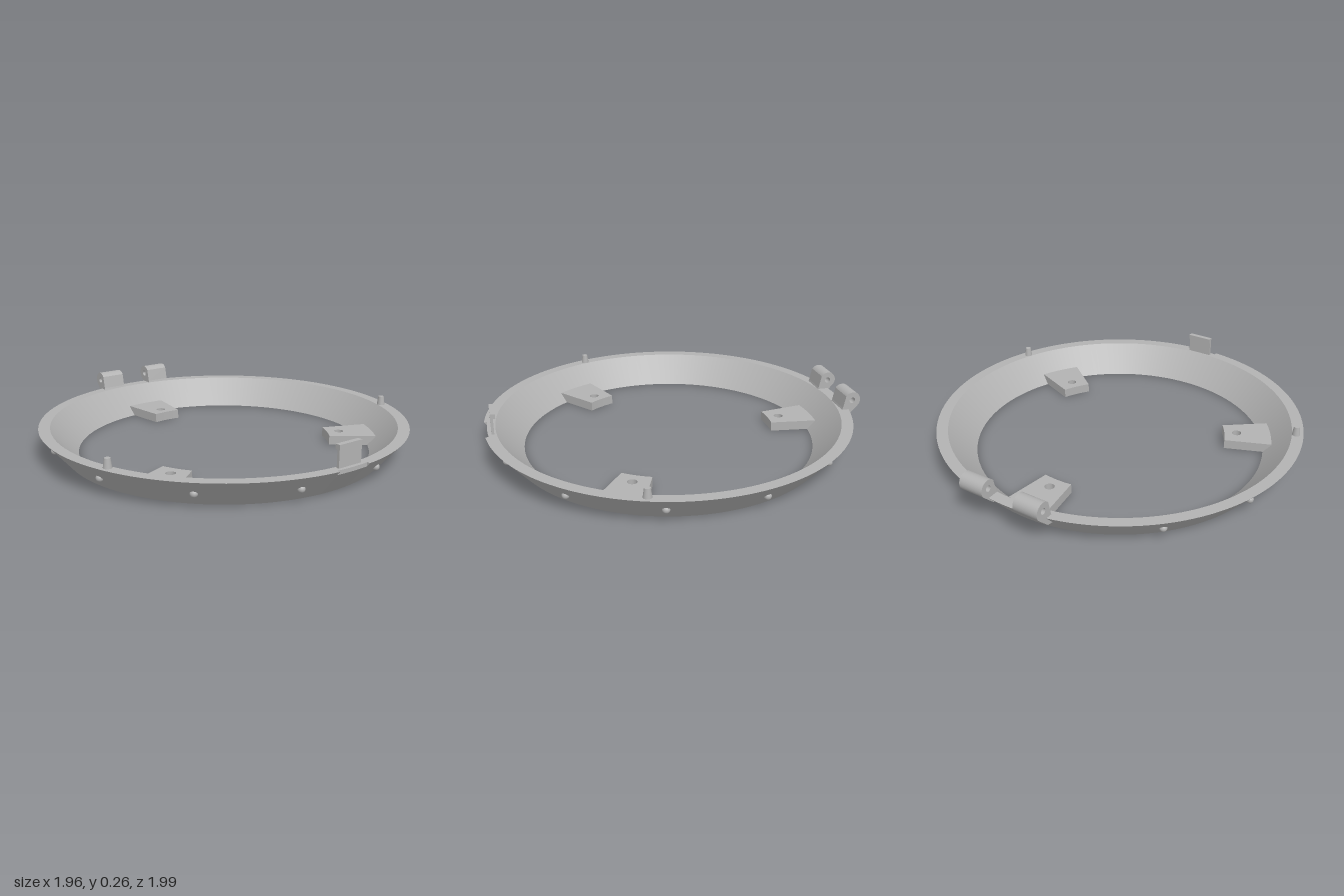
import * as THREE from 'three';

const grey = new THREE.MeshStandardMaterial({ color: 0xb2b2b2 });
grey.name = 'plainGrey';
const rad = THREE.MathUtils.degToRad;

function add(parent, name, geometry, x = 0, y = 0, z = 0) {
  const mesh = new THREE.Mesh(geometry, grey);
  mesh.name = name;
  mesh.position.set(x, y, z);
  parent.add(mesh);
  return mesh;
}

// Sweep each side of a closed profile separately so its edges stay sharp
function sweep(parent, name, profile, start, length, segments) {
  profile.forEach((p, i) => {
    const q = profile[(i + 1) % profile.length];
    const points = [new THREE.Vector2(...p), new THREE.Vector2(...q)];
    add(parent, name, new THREE.LatheGeometry(points, segments, start, length));
  });
}

export function createModel() {
  const model = new THREE.Group();
  model.name = 'bezelRing';
  const ring = new THREE.Group();
  ring.name = 'ring';
  ring.position.z = 0.02;
  model.add(ring);

  // Sloped ring, with a shallow notch in the rim at the front
  const half = rad(5.6);
  sweep(ring, 'ringBody', [[0.85, 0], [0.98, 0.15], [0.92, 0.15], [0.78, 0]],
    half, Math.PI * 2 - half * 2, 160);
  sweep(ring, 'notchedRim', [[0.85, 0], [0.963, 0.13], [0.963, 0.15], [0.92, 0.15], [0.78, 0]],
    -half, half * 2, 8);

  // Small end walls of the notch, facing its middle
  for (const side of [-1, 1]) {
    const corners = [[0.963, 0.13], [0.98, 0.15], [0.963, 0.15]].map((c) => new THREE.Vector2(...c));
    const wall = new THREE.ShapeGeometry(new THREE.Shape(corners));
    if (side > 0) wall.setIndex([...wall.index.array].reverse());
    wall.computeVertexNormals();
    wall.rotateY(-Math.PI / 2 + side * half);
    // Keep the triangle facing the inside of the notch
    const normal = wall.attributes.normal;
    if (normal.getX(0) * side > 0) {
      wall.setIndex([...wall.index.array].reverse());
      wall.computeVertexNormals();
    }
    add(ring, 'notchEnd', wall);
  }

  // Three mounting tabs with screw holes
  const tab = new THREE.Shape();
  const spread = rad(7.9);
  tab.absarc(0, 0, 0.823, Math.PI / 2 - spread, Math.PI / 2 + spread, false);
  tab.absarc(0, 0, 0.573, Math.PI / 2 + spread, Math.PI / 2 - spread, true);
  tab.closePath();
  const screwHole = new THREE.Path();
  screwHole.absarc(0, 0.64, 0.025, 0, Math.PI * 2, true);
  tab.holes.push(screwHole);
  const tabGeometry = new THREE.ExtrudeGeometry(tab, { depth: 0.05, bevelEnabled: false, curveSegments: 20 });
  tabGeometry.rotateX(-Math.PI / 2);
  for (let i = 0; i < 3; i++) {
    add(ring, 'mountingTab', tabGeometry).rotation.y = i * Math.PI * 2 / 3;
  }

  // Round studs on the outer wall, left out under the hinges
  const studGeometry = new THREE.SphereGeometry(0.019, 16, 10);
  for (let i = 0; i < 12; i++) {
    if (i === 5 || i === 6) continue;
    const a = rad(15 + i * 30);
    add(ring, 'stud', studGeometry, 0.915 * Math.sin(a), 0.075, 0.915 * Math.cos(a));
  }

  // Tapered locating pins on the rim
  const pinGeometry = new THREE.CylinderGeometry(0.015, 0.022, 0.05, 24);
  for (const side of [-1, 1]) add(ring, 'locatingPin', pinGeometry, side * 0.885, 0.172, 0.32);

  // Pair of hinge knuckles at the back
  const knuckle = new THREE.Shape();
  knuckle.moveTo(-0.9, 0.1);
  knuckle.lineTo(-0.92, 0.16);
  knuckle.absarc(-0.972, 0.2, 0.046, rad(35), rad(225), false);
  knuckle.lineTo(-0.945, 0.108);
  knuckle.closePath();
  const pinHole = new THREE.Path();
  pinHole.absarc(-0.972, 0.2, 0.016, 0, Math.PI * 2, true);
  knuckle.holes.push(pinHole);
  const knuckleGeometry = new THREE.ExtrudeGeometry(knuckle, { depth: 0.135, bevelEnabled: false, curveSegments: 24 });
  knuckleGeometry.rotateY(-Math.PI / 2);
  for (const x of [0.225, -0.09]) add(ring, 'hingeKnuckle', knuckleGeometry, x);

  // Upright latch plate with an inward lip
  add(ring, 'latchPlate', new THREE.BoxGeometry(0.14, 0.12, 0.014), 0, 0.2, 0.936);
  add(ring, 'latchLip', new THREE.BoxGeometry(0.14, 0.025, 0.012), 0, 0.2475, 0.923);

  return model;
}
